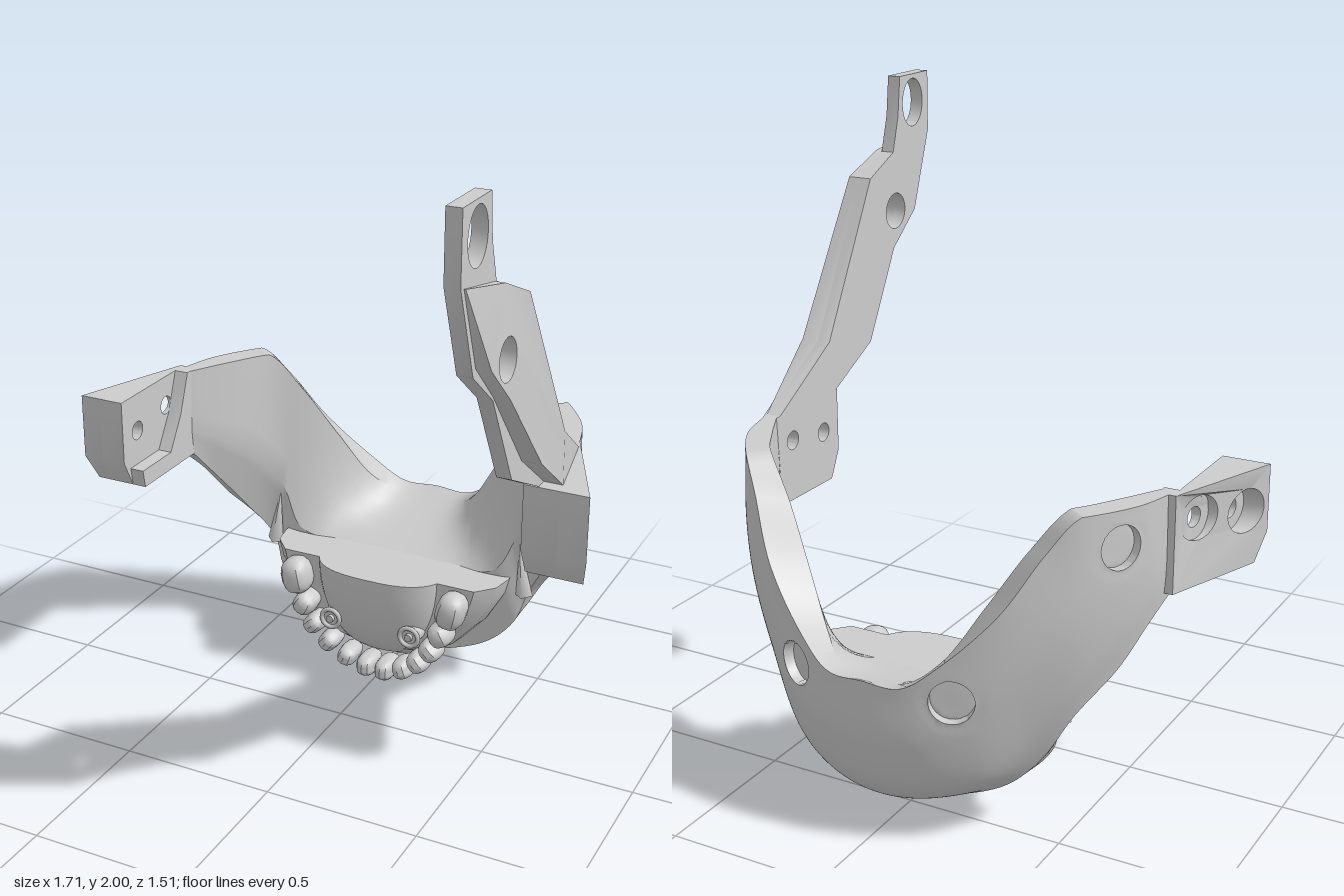
import * as THREE from 'three';
import { toCreasedNormals, mergeVertices } from 'three/addons/utils/BufferGeometryUtils.js';

const resin = new THREE.MeshStandardMaterial({ color: 0xcccccc, side: THREE.DoubleSide });
resin.name = 'grey resin';
const V = (x, y, z) => new THREE.Vector3(x, y, z);
const lerp = THREE.MathUtils.lerp;

function add(group, name, geometry) {
  const mesh = new THREE.Mesh(geometry, resin);
  mesh.name = name;
  group.add(mesh);
  return mesh;
}

// Skin a list of closed rings that all have the same number of points
function loft(rings, crease) {
  const n = rings[0].length, index = [];
  for (let i = 0; i < rings.length - 1; i++) {
    for (let j = 0; j < n; j++) {
      const k = (j + 1) % n;
      const a = i * n + j, b = a + n, c = i * n + k, d = c + n;
      index.push(a, b, c, b, d, c);
    }
  }
  const g = new THREE.BufferGeometry().setFromPoints(rings.flat());
  g.setIndex(index);
  return toCreasedNormals(g, crease);
}

// Extrude a [z, y] profile sideways between two widths, each a rule of (z, y)
function sidePlate(profile, holes, side, inner, outer) {
  const shape = new THREE.Shape(profile.map(([z, y]) => new THREE.Vector2(-z, y)));
  for (const [z, y, rz, ry = rz] of holes) {
    shape.holes.push(new THREE.Path().absellipse(-z, y, rz, ry, 0, Math.PI * 2, true));
  }
  const g = new THREE.ExtrudeGeometry(shape, { depth: 1, bevelEnabled: false, curveSegments: 16 });
  g.rotateY(Math.PI / 2);
  if (side < 0) g.translate(-1, 0, 0);
  const p = g.attributes.position;
  for (let i = 0; i < p.count; i++) {
    const y = p.getY(i), z = p.getZ(i);
    p.setX(i, side * lerp(inner(z, y), outer(z, y), Math.abs(p.getX(i))));
  }
  return toCreasedNormals(g, 0.6);
}

// Half of the jaw band from the chin outward:
// outer top, two outer middles, outer bottom, inner bottom, inner top
const stations = [
  [[0, .52, -.755], [0, .33, -.755], [0, .14, -.695], [0, .055, -.54], [0, .055, -.42], [0, .505, -.725]],
  [[.12, .52, -.747], [.15, .33, -.735], [.16, .155, -.67], [.17, .083, -.52], [.17, .078, -.42], [.11, .51, -.69]],
  [[.23, .6, -.715], [.29, .4, -.685], [.31, .22, -.615], [.33, .15, -.5], [.34, .15, -.42], [.19, .57, -.63]],
  [[.38, .76, -.645], [.42, .56, -.615], [.43, .37, -.55], [.43, .25, -.475], [.435, .25, -.42], [.295, .735, -.565]],
  [[.48, .93, -.565], [.54, .74, -.525], [.55, .55, -.475], [.52, .4, -.45], [.475, .36, -.43], [.4, .905, -.505]],
  [[.555, 1.03, -.5], [.615, .85, -.43], [.635, .68, -.37], [.61, .53, -.355], [.55, .5, -.36], [.5, 1.03, -.45]],
  [[.655, 1.03, -.35], [.67, .9, -.32], [.68, .77, -.28], [.665, .65, -.275], [.615, .63, -.275], [.58, 1.03, -.33]],
  [[.7, 1.03, -.2], [.7, .93, -.2], [.7, .82, -.2], [.7, .73, -.2], [.655, .73, -.2], [.655, 1.03, -.2]],
];

// Blind round sockets in the band: centre and axis for the +x side
const sockets = [
  [V(.63, .92, -.4), V(.84, .1, -.53).normalize()],
  [V(.26, .49, -.7), V(.4, .05, -.91).normalize()],
];

// Gather nearby points around the socket rim, then sink those inside it
function pressSocket(p, centre, axis) {
  const r = .066, v = p.clone().sub(centre);
  const radial = v.clone().addScaledVector(axis, -v.dot(axis));
  const d = radial.length(), e = (d - r) / (r * .5);
  if (v.length() > .15) return;
  if (Math.abs(e) < 1) p.addScaledVector(radial, (r + e ** 3 * r * .5) / d - 1);
  if (d <= r) p.addScaledVector(axis, -.035);
}

function jawBand() {
  const steps = 280, outerSteps = 52;
  // The inner wall stands up from the bottom edge, then slopes back to the rim
  const half = stations.map(s => {
    const points = s.map(c => V(...c)), [bottom, top] = points.slice(4);
    const x = (bottom.x + top.x) / 2, y = Math.max(.405, (bottom.y + top.y) / 2 - .06);
    points.splice(5, 0, V(x, y, bottom.z + .01));
    return points;
  });
  const mirrored = half.slice(1).reverse().map(s => s.map(p => V(-p.x, p.y, p.z)));
  const all = [...mirrored, ...half];
  const tracks = half[0].map((_, k) =>
    new THREE.CatmullRomCurve3(all.map(s => s[k]), false, 'centripetal'));
  const rings = [];
  for (let i = 0; i <= steps; i++) {
    const q = tracks.map(t => t.getPoint(i / steps));
    const ring = new THREE.CatmullRomCurve3(q.slice(0, 4)).getPoints(outerSteps);
    for (const p of ring) {
      for (const [c, a] of sockets) {
        pressSocket(p, c, a);
        pressSocket(p, V(-c.x, c.y, c.z), V(-a.x, a.y, a.z));
      }
    }
    for (let k = 4; k < 7; k++) {
      ring.push(q[k].clone());
      if (k < 6) for (let j = 1; j < 4; j++) ring.push(q[k].clone().lerp(q[k + 1], j / 4));
    }
    ring.forEach(p => { p.y = Math.min(p.y, 1.03); });
    rings.push(ring);
  }
  return loft(rings, 0.5);
}

// Rounded palate with a flat top
function palate() {
  const rings = [Array.from({ length: 25 }, () => V(0, .41, -.35))];
  for (let i = 0; i <= 12; i++) {
    const t = Math.min(i / 12, .998) * Math.PI / 2, c = Math.cos(t);
    rings.push(Array.from({ length: 25 }, (_, j) => {
      const a = j / 24 * Math.PI, s = Math.max(Math.sin(a), 0), ca = Math.cos(a);
      return V(-Math.sign(ca) * Math.abs(ca) ** .75 * .235 * c ** .8, .41 - .33 * Math.sin(t),
        -.4 + .215 * c ** .6 * s ** .6);
    }));
  }
  return loft(rings, 0.6);
}

// Tapered gum plate behind the teeth
function gum() {
  const half = [[.415, .41], [.4, .35], [.34, .245], [.26, .155], [.16, .09], [.06, .068]];
  const outline = [...half, ...half.map(([x, y]) => [-x, y]).reverse()];
  const ring = (s, z) => outline.map(([x, y]) => V(x * s, .41 + (y - .41) * s, z));
  return loft([ring(1, -.43), ring(1, -.4), ring(.97, -.33), ring(.84, -.27), ring(0, -.27)], 0.4);
}

// Slightly boxy tooth crown
function crown(rx, ry, rz) {
  const g = mergeVertices(new THREE.SphereGeometry(1, 12, 9).deleteAttribute('uv').deleteAttribute('normal'));
  const p = g.attributes.position, soft = v => Math.sign(v) * Math.abs(v) ** .8;
  for (let i = 0; i < p.count; i++) {
    p.setXYZ(i, soft(p.getX(i)) * rx, soft(p.getY(i)) * ry, soft(p.getZ(i)) * rz);
  }
  return toCreasedNormals(g, 0.6);
}

export function createModel() {
  const model = new THREE.Group();
  model.name = 'jawModel';
  add(model, 'jawBand', jawBand());

  // Wedge-shaped mounts with counterbored holes
  const block = [[.145, 1.03], [.145, .82], [.1, .73], [-.23, .73], [-.23, 1.03]];
  const bores = [[.06, .905], [-.115, .93]];
  for (const side of [1, -1]) {
    const face = side > 0 ? .655 : .705;
    const inner = () => face;
    const outer = z => Math.max(.69 + (z + .23) / .375 * .165, face + .01);
    const middle = z => lerp(face, outer(z), .55);
    const mount = new THREE.Group();
    mount.name = side > 0 ? 'leftMount' : 'rightMount';
    model.add(mount);
    add(mount, 'innerPlate', sidePlate(block, bores.map(b => [...b, .031]), side, inner, middle));
    add(mount, 'outerPlate', sidePlate(block, bores.map(b => [...b, .068]), side, middle, outer));
  }
  // Ledge around the empty recess on the right mount
  add(model, 'recessLedge', sidePlate(
    [[.1, .73], [-.23, .73], [-.23, 1.03], [-.18, 1.03], [-.13, .9], [-.06, .79], [.11, .79]],
    [], -1, () => .658, () => .706));

  // Upright arm on the left: thin plate plus a tapered stiffener
  const arm = new THREE.Group();
  arm.name = 'uprightArm';
  model.add(arm);
  const pivot = [.535, 1.555, .06];
  add(arm, 'armPlate', sidePlate(
    [[.755, 2], [.575, 2], [.56, 1.87], [.525, 1.755], [.38, 1.69], [.11, 1.2], [-.18, 1.03],
      [.14, 1.03], [.36, 1.14], [.52, 1.43], [.66, 1.54], [.755, 1.8]],
    [[.655, 1.905, .064, .08], pivot], 1, () => .655, () => .7));
  const stiffenerFace = (z, y) => y > 1.74
    ? lerp(.735, .702, (y - 1.74) / .06)
    : Math.min(.76, .76 - (y - 1.18) * .044, .705 + (z + .18) * .19);
  add(arm, 'armStiffener', sidePlate(
    [[.735, 1.795], [.53, 1.755], [.38, 1.69], [.11, 1.2], [-.18, 1.03], [.1, 1.03],
      [.29, 1.17], [.52, 1.44], [.645, 1.56]],
    [pivot], 1, () => .699, stiffenerFace));

  // Dental cast
  const cast = new THREE.Group();
  cast.name = 'dentalCast';
  model.add(cast);
  add(cast, 'palate', palate());
  add(cast, 'gum', gum());

  // Teeth: x, y, z, then radii and tilt
  const teeth = [
    [.034, .042, -.285, .034, .038, .065, 0],
    [.103, .066, -.275, .034, .036, .06, .35],
    [.165, .115, -.258, .034, .038, .058, .7],
    [.215, .178, -.245, .034, .04, .058, .8],
    [.25, .247, -.24, .04, .042, .058, .5],
    [.285, .342, -.238, .05, .064, .058, -.2],
  ];
  for (const side of [1, -1]) {
    for (const [x, y, z, rx, ry, rz, tilt] of teeth) {
      const tooth = add(cast, 'tooth', crown(rx, ry, rz));
      tooth.position.set(side * x, y, z);
      tooth.rotation.z = side * tilt;
    }
    // Screw in the palate
    const ring = add(cast, 'screwRing', new THREE.TorusGeometry(.033, .008, 8, 20));
    ring.position.set(side * .145, .22, -.212);
    const shank = add(cast, 'screwShank', new THREE.CylinderGeometry(.033, .033, .09, 20));
    shank.rotation.x = Math.PI / 2;
    shank.position.set(side * .145, .22, -.26);
    const pin = add(cast, 'screwPin', new THREE.CylinderGeometry(.013, .013, .02, 12));
    pin.rotation.x = Math.PI / 2;
    pin.position.set(side * .145, .22, -.212);
    // Small locating fin beside the cast
    const fin = add(model, 'locatingFin', new THREE.ConeGeometry(.03, .19, 4));
    fin.position.set(side * .455, .45, -.42);
    fin.rotation.z = side * .12;
  }
  return model;
}
